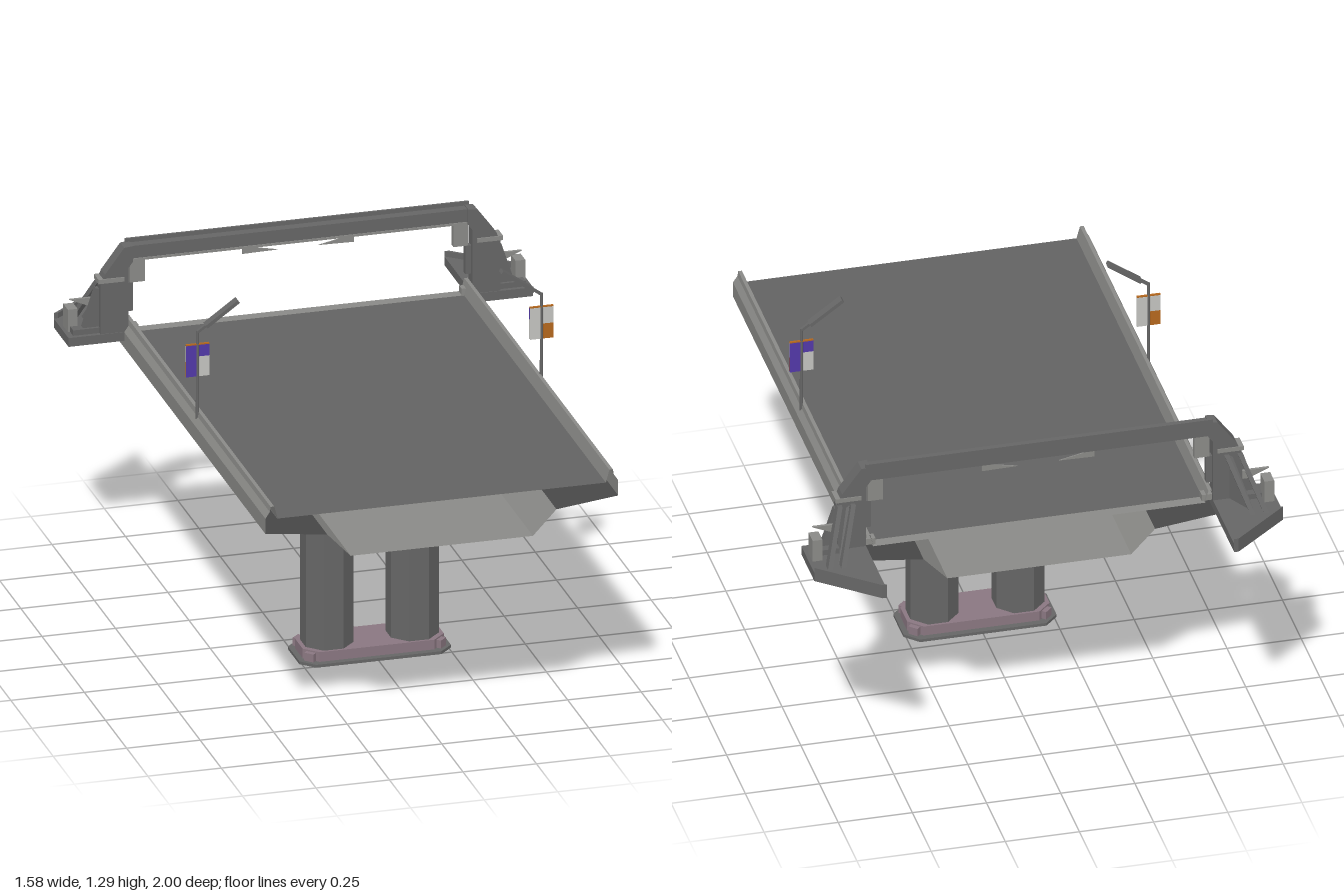
import * as THREE from 'three';

const mat = (name, color) => new THREE.MeshStandardMaterial({ name, color, side: THREE.DoubleSide });

export function createModel() {
  const M = {
    asphalt: mat('asphalt', 0x626262),
    concrete: mat('concrete', 0x8a8a87),
    steel: mat('steel', 0x666666),
    dark: mat('dark underside', 0x474747),
    patch: mat('stained patch', 0x686868),
    mauve: mat('mauve footing', 0x8a7781),
    purple: mat('purple sign', 0x5238a8),
    orange: mat('orange sign', 0xb5681e),
    pale: mat('pale panel', 0xc4c4c0),
  };
  const model = new THREE.Group();
  const add = (parent, name, geo, material) => {
    const m = new THREE.Mesh(geo, material);
    m.name = name;
    parent.add(m);
    return m;
  };
  // box from its lower and upper limits
  const box = (parent, name, material, x0, x1, y0, y1, z0, z1) => add(parent, name,
    new THREE.BoxGeometry(Math.abs(x1 - x0), y1 - y0, z1 - z0)
      .translate((x0 + x1) / 2, (y0 + y1) / 2, (z0 + z1) / 2), material);
  // outline in x,y pushed along z
  const slabZ = (pts, z0, z1) => new THREE.ExtrudeGeometry(
    new THREE.Shape(pts.map(p => new THREE.Vector2(...p))), { depth: z1 - z0, bevelEnabled: false }).translate(0, 0, z0);
  // outline in x,z pushed up along y
  const slabY = (pts, y0, y1) => new THREE.ExtrudeGeometry(
    new THREE.Shape(pts.map(([x, z]) => new THREE.Vector2(x, -z))), { depth: y1 - y0, bevelEnabled: false })
    .rotateX(-Math.PI / 2).translate(0, y0, 0);
  // open sheet: x,y polyline swept along z
  const sheet = (pts, z0, z1) => {
    const v = [];
    for (let i = 0; i < pts.length - 1; i++) {
      const [a, b] = [pts[i], pts[i + 1]];
      v.push(...a, z0, ...b, z0, ...b, z1, ...a, z0, ...b, z1, ...a, z1);
    }
    const g = new THREE.BufferGeometry();
    g.setAttribute('position', new THREE.Float32BufferAttribute(v, 3));
    g.computeVertexNormals();
    return g;
  };

  // Bridge deck: open-ended sheets
  const Z0 = -0.715, Z1 = 1;
  const deck = new THREE.Group();
  deck.name = 'deck';
  model.add(deck);
  add(deck, 'roadway', sheet([[0.56, 0.86], [-0.56, 0.86]], -0.675, Z1), M.asphalt);
  add(deck, 'endJoint', sheet([[0.56, 0.86], [-0.56, 0.86]], Z0, -0.675), M.concrete);
  add(deck, 'hull', sheet([[-0.39, 0.785], [-0.31, 0.7], [0.31, 0.7], [0.39, 0.785]], Z0, Z1), M.concrete);
  for (const s of [-1, 1]) {
    const prof = [[0.6, 0.81], [0.6, 0.864], [0.585, 0.886], [0.582, 0.904], [0.57, 0.904], [0.558, 0.86]];
    const p = prof.map(([x, y]) => [s * x, y]);
    add(deck, 'parapet', sheet(s > 0 ? p : p.reverse(), Z0, Z1), M.concrete);
    const under = [[-0.39, 0.785], [-0.6, 0.81]].map(([x, y]) => [-s * x, y]);
    add(deck, 'overhangUnderside', sheet(s > 0 ? under : under.reverse(), Z0, Z1), M.dark);
    // rounded patches along the underside
    for (let i = 0; i < 8; i++) {
      const g = new THREE.CircleGeometry(0.08, 9).rotateX(Math.PI / 2)
        .scale(1, 1, 1.12).rotateY(i * 0.15).rotateZ(s * 0.118);
      add(deck, 'undersidePatch', g, M.patch)
        .position.set(s * (0.495 + (i % 2 ? 0.014 : -0.014)), 0.794 + (i % 2 ? 0.0017 : -0.0017), -0.6 + i * 0.212);
    }
  }

  // Pier: two octagonal columns between a footing and a cap
  const pier = new THREE.Group();
  pier.name = 'pier';
  pier.position.z = 0.145;
  model.add(pier);
  for (const s of [-1, 1]) {
    const g = new THREE.CylinderGeometry(0.088, 0.088, 0.68, 8).rotateY(Math.PI / 8).toNonIndexed();
    g.computeVertexNormals();
    add(pier, 'column', g, M.steel).position.set(s * 0.145, 0.346, 0);
  }
  const chamfered = (w, d, c) => [[w, d - c], [w - c, d], [c - w, d], [-w, d - c],
    [-w, c - d], [c - w, -d], [w - c, -d], [w, c - d]];
  const footing = (name, y0, y1, f0, f1, w, d) => {
    const g = new THREE.Group();
    g.name = name;
    pier.add(g);
    add(g, 'block', slabY(chamfered(0.24, 0.09, 0.045), y0, y1), M.mauve);
    // rim with an opening
    const rim = new THREE.Shape(chamfered(w, d, 0.045).map(p => new THREE.Vector2(...p)));
    rim.holes.push(new THREE.Path(chamfered(0.23, 0.08, 0.04).map(p => new THREE.Vector2(...p))));
    add(g, 'rim', new THREE.ExtrudeGeometry(rim, { depth: f1 - f0, bevelEnabled: false })
      .rotateX(-Math.PI / 2).translate(0, f0, 0), M.steel);
    // corner brackets
    for (const sx of [-1, 1]) for (const sz of [-1, 1]) {
      const b = add(g, 'cornerBracket', new THREE.BoxGeometry(0.035, y1 - y0 - 0.01, 0.02), M.mauve);
      b.position.set(sx * 0.222, (y0 + y1) / 2, sz * 0.073);
      b.rotation.y = sx * sz * Math.PI / 4;
    }
  };
  footing('base', 0.006, 0.044, 0, 0.01, 0.258, 0.112);
  footing('cap', 0.652, 0.692, 0.688, 0.7, 0.274, 0.128);

  // Street lamps with two-faced signs, one turned half round
  for (const turn of [0, Math.PI]) {
    const lamp = new THREE.Group();
    lamp.name = 'streetLamp';
    lamp.position.z = 0.145;
    lamp.rotation.y = turn;
    model.add(lamp);
    add(lamp, 'pole', new THREE.CylinderGeometry(0.005, 0.006, 0.33, 8).translate(-0.585, 1.025, 0), M.steel);
    const arm = add(lamp, 'lampArm', new THREE.BoxGeometry(0.06, 0.009, 0.012), M.steel);
    arm.position.set(-0.56, 1.203, 0);
    const head = add(lamp, 'lampHead', new THREE.BoxGeometry(0.135, 0.012, 0.03), M.steel);
    head.position.set(-0.503, 1.243, 0);
    arm.rotation.z = head.rotation.z = 0.62;
    const f = [0.001, 0.005], r = [-0.005, -0.001];
    box(lamp, 'signFront', M.purple, -0.625, -0.59, 1.03, 1.14, ...f);
    box(lamp, 'signFrontTop', M.purple, -0.58, -0.545, 1.1, 1.14, ...f);
    box(lamp, 'signFrontPanel', M.pale, -0.58, -0.545, 1.03, 1.1, ...f);
    box(lamp, 'signBackPanel', M.pale, -0.58, -0.545, 1.03, 1.14, ...r);
    box(lamp, 'signBackTop', M.pale, -0.625, -0.59, 1.083, 1.14, ...r);
    box(lamp, 'signBack', M.orange, -0.625, -0.59, 1.03, 1.083, ...r);
    box(lamp, 'signTrim', M.orange, -0.625, -0.545, 1.14, 1.144, -0.004, 0.004);
  }

  // Gantry across the far end
  const gantry = new THREE.Group();
  gantry.name = 'gantry';
  model.add(gantry);
  box(gantry, 'beam', M.steel, -0.575, 0.575, 1.115, 1.162, -0.718, -0.677);
  box(gantry, 'beamBackFlange', M.steel, -0.585, 0.585, 1.162, 1.176, -0.718, -0.71);
  box(gantry, 'beamLip', M.concrete, -0.575, 0.575, 1.11, 1.118, -0.68, -0.674);
  for (const s of [-1, 1]) {
    const m = pts => pts.map(([x, y]) => [s * x, y]);
    add(gantry, 'hangingFin', slabZ(m([[0.07, 1.085], [0.19, 1.11], [0.19, 1.083]]), -0.7, -0.696), M.concrete);
    add(gantry, 'wingBase', slabY(m([[0.585, -0.665], [0.79, -0.665], [0.79, -0.84], [0.6, -1], [0.585, -1]]),
      0.835, 0.866), M.steel);
    add(gantry, 'wingRim', slabY(m([[0.775, -0.84], [0.79, -0.84], [0.6, -1], [0.585, -1]]), 0.866, 0.885), M.steel);
    add(gantry, 'tower', slabZ(m([[0.585, 0.866], [0.68, 0.866], [0.68, 1.04], [0.665, 1.075], [0.6, 1.162],
      [0.57, 1.165], [0.57, 1.11], [0.585, 1.09]]), -0.717, -0.668), M.steel);
    box(gantry, 'towerCollar', M.concrete, s * 0.6, s * 0.688, 1.045, 1.06, -0.72, -0.664);
    add(gantry, 'sideBrace', slabZ(m([[0.68, 1.02], [0.69, 1.02], [0.74, 0.866], [0.68, 0.866]]), -0.713, -0.69), M.steel);
    // slanted back braces, leaning out and back
    for (const dx of [0, 0.045]) {
      const g = new THREE.BoxGeometry(0.016, 0.17, 0.03);
      const pos = g.attributes.position;
      for (let i = 0; i < pos.count; i++) {
        const t = 0.5 - pos.getY(i) / 0.17;
        pos.setXYZ(i, pos.getX(i) + s * (0.63 + dx + 0.06 * t), 1.035 - 0.17 * t,
          pos.getZ(i) - 0.715 - 0.105 * t);
      }
      g.computeVertexNormals();
      add(gantry, 'backBrace', g, M.steel);
    }
    add(gantry, 'braceWeb', slabZ([[0, 0.866], [0, 1.03], [0.105, 0.866]], -0.005, 0.005)
      .rotateY(Math.PI / 2 + s * -0.5).translate(s * 0.645, 0, -0.715), M.steel);
    add(gantry, 'sideFin', slabZ(m([[0.68, 0.975], [0.77, 0.975], [0.7, 0.945], [0.68, 0.945]]), -0.735, -0.725), M.concrete);
    box(gantry, 'equipmentBox', M.concrete, s * 0.745, s * 0.778, 0.866, 0.945, -0.77, -0.715);
    box(gantry, 'outerFoot', M.steel, s * 0.68, s * 0.77, 0.866, 0.885, -0.74, -0.68);
    box(gantry, 'innerFoot', M.concrete, s * 0.55, s * 0.6, 0.862, 0.884, -0.705, -0.675);
    box(gantry, 'innerPlate', M.steel, s * 0.565, s * 0.586, 0.93, 1.03, -0.705, -0.685);
    box(gantry, 'hangingBox', M.concrete, s * 0.525, s * 0.575, 1.03, 1.115, -0.707, -0.685);
  }
  return model;
}
